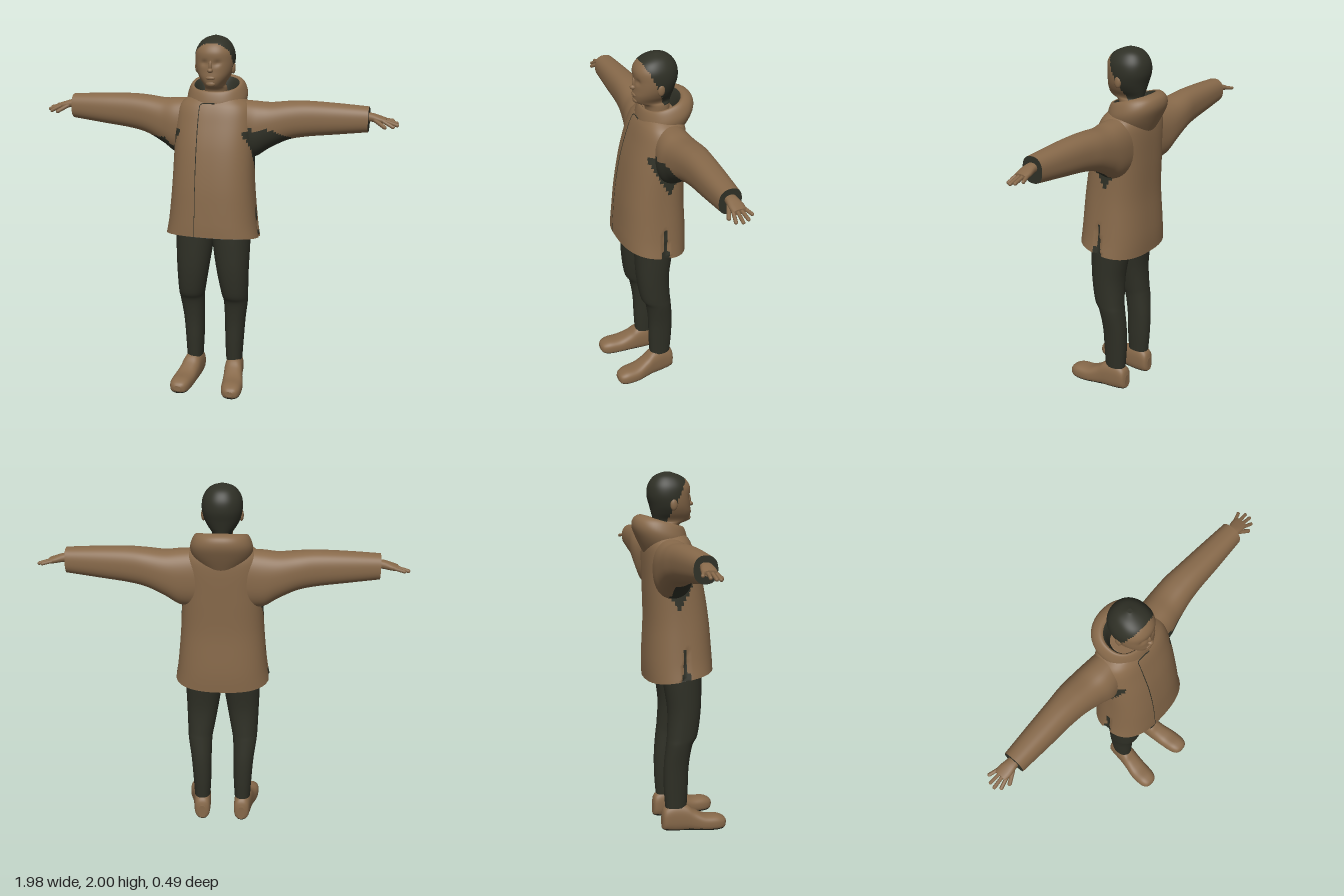
import * as THREE from 'three';

const tan = new THREE.MeshStandardMaterial({ color: 0x87694a });
tan.name = 'tan';
const dark = new THREE.MeshStandardMaterial({ color: 0x2f3026 });
dark.name = 'dark olive';

// Smooth interpolation through the rows of a cross-section list
function sample(rows, f) {
  const i = Math.min(Math.floor(f), rows.length - 2), u = f - i;
  const at = (k) => rows[Math.max(0, Math.min(rows.length - 1, k))];
  return rows[i].map((b, k) => {
    const a = at(i - 1)[k], c = at(i + 1)[k], d = at(i + 2)[k];
    const m0 = (c - a) / 2, m1 = (d - b) / 2;
    return b + u * (m0 + u * (3 * (c - b) - 2 * m0 - m1 + u * (2 * (b - c) + m0 + m1)));
  });
}

// Closed skin over rows [height, xMin, xMax, zMin, zMax]; shape() bends points,
// isDark(point, v) picks the second colour face by face
function loft(name, rows, o = {}) {
  const { seg = 40, sub = 5, pow = 0.85, turn, shape, isDark, mat = tan, caps = true } = o;
  const n = (rows.length - 1) * sub, pts = [], tris = [[], []];
  const rings = [];
  for (let i = 0; i <= n; i++) rings.push([...sample(rows, i / sub), 1]);
  if (caps) {
    const first = rings[0], last = rings[n];
    rings.unshift([...first.slice(0, 5), 0], first);
    rings.push(last, [...last.slice(0, 5), 0]);
  }
  const curve = (v) => Math.sign(v) * Math.abs(v) ** pow;
  for (const [y, x0, x1, z0, z1, k] of rings) {
    for (let j = 0; j < seg; j++) {
      const a = (j / seg) * Math.PI * 2;
      const p = new THREE.Vector3((x0 + x1) / 2 + k * curve(Math.cos(a)) * (x1 - x0) / 2, y,
        (z0 + z1) / 2 + k * curve(Math.sin(a)) * (z1 - z0) / 2);
      if (turn) p.applyEuler(turn);
      if (shape) shape(p);
      pts.push(p);
    }
  }
  for (let i = 0; i < rings.length - 1; i++) {
    for (let j = 0; j < seg; j++) {
      const a = i * seg + j, b = i * seg + (j + 1) % seg, c = a + seg, d = b + seg;
      const mid = pts[a].clone().add(pts[b]).add(pts[c]).add(pts[d]).multiplyScalar(0.25);
      tris[isDark && isDark(mid, i / rings.length) ? 1 : 0].push(a, c, b, b, c, d);
    }
  }
  const g = new THREE.BufferGeometry().setFromPoints(pts);
  g.setIndex([...tris[0], ...tris[1]]);
  g.addGroup(0, tris[0].length, 0);
  g.addGroup(tris[0].length, tris[1].length, 1);
  g.computeVertexNormals();
  const mesh = new THREE.Mesh(g, isDark ? [tan, dark] : mat);
  mesh.name = name;
  return mesh;
}

function blob(name, pos, scale) {
  const mesh = new THREE.Mesh(new THREE.SphereGeometry(1, 16, 12), tan);
  mesh.position.set(...pos);
  mesh.scale.set(...scale);
  mesh.name = name;
  return mesh;
}

function finger(name, from, to, r) {
  const a = new THREE.Vector3(...from), b = new THREE.Vector3(...to), d = b.clone().sub(a);
  const mesh = new THREE.Mesh(new THREE.CapsuleGeometry(r, d.length(), 4, 8), tan);
  mesh.position.copy(a).add(b).multiplyScalar(0.5);
  mesh.quaternion.setFromUnitVectors(new THREE.Vector3(0, 1, 0), d.normalize());
  mesh.name = name;
  return mesh;
}

// The hem hangs lower at the back, and each side has a slit
function hem(p) {
  const slit = Math.max(0, 1.1 - p.y) * 0.12;
  if (Math.abs(p.x) > 0.15 && Math.abs(p.z + 0.015) < slit) p.x *= 0.95;
  p.y += p.z * 0.17 * Math.max(0, 1 - (p.y - 0.9) / 0.2);
}

function head() {
  const g = new THREE.Group();
  g.name = 'head';
  g.add(loft('skullFaceAndHair', [
    [1.6, -0.06, 0.06, -0.13, 0], [1.71, -0.06, 0.06, -0.13, 0.005], [1.74, -0.055, 0.055, -0.135, 0.058],
    [1.78, -0.08, 0.08, -0.145, 0.07], [1.82, -0.098, 0.098, -0.155, 0.068], [1.87, -0.107, 0.107, -0.168, 0.066],
    [1.92, -0.103, 0.103, -0.165, 0.066], [1.96, -0.083, 0.083, -0.145, 0.042],
    [1.985, -0.055, 0.055, -0.115, 0], [2, -0.012, 0.012, -0.07, -0.045],
  ], {
    seg: 64, sub: 6, pow: 0.92,
    // eye sockets
    shape: (p) => {
      if (p.z > 0) p.z -= 0.01 * Math.exp(-(((Math.abs(p.x) - 0.035) / 0.018) ** 2) - ((p.y - 1.865) / 0.014) ** 2);
    },
    isDark: (p) => p.y > 1.72 && p.z < (p.y - 1.9) * (p.y > 1.9 ? 0.5 : 0.45),
  }));
  g.add(blob('noseBridge', [0, 1.85, 0.064], [0.01, 0.03, 0.012]));
  g.add(blob('noseTip', [0, 1.828, 0.07], [0.016, 0.013, 0.018]));
  g.add(blob('lips', [0, 1.787, 0.066], [0.026, 0.011, 0.01]));
  g.add(blob('chin', [0, 1.755, 0.058], [0.026, 0.016, 0.014]));
  for (const s of [-1, 1]) g.add(blob('ear', [s * 0.1, 1.83, -0.045], [0.012, 0.032, 0.02]));
  return g;
}

function jacket() {
  const g = new THREE.Group();
  g.name = 'jacket';
  g.add(loft('jacketBody', [
    [0.9, -0.262, 0.262, -0.192, 0.18], [1, -0.246, 0.246, -0.195, 0.176], [1.2, -0.228, 0.228, -0.186, 0.16],
    [1.4, -0.22, 0.22, -0.19, 0.127], [1.55, -0.215, 0.215, -0.192, 0.085], [1.62, -0.2, 0.2, -0.185, 0.06],
    [1.66, -0.16, 0.16, -0.165, 0.035], [1.69, -0.1, 0.1, -0.14, 0.01],
  ], {
    seg: 120, sub: 8, pow: 0.8, shape: hem,
    isDark: (p) => Math.abs(p.x) > 0.17 && (
      Math.abs(p.z + 0.015) < (1.1 - p.y) * 0.1 ||
      (p.y > 1.27 && p.y < 1.5 && Math.abs(p.z + 0.045) < (p.y - 1.26) * 0.5)),
  }));
  g.add(loft('jacketLining', [[0.898, -0.255, 0.255, -0.187, 0.175], [0.91, -0.25, 0.25, -0.185, 0.17]],
    { mat: dark, sub: 1, pow: 0.8, shape: hem }));
  // Collar and hood rolled over into a dark inside
  g.add(loft('hood', [
    [1.53, -0.09, 0.09, -0.185, 0.02], [1.6, -0.145, 0.145, -0.225, 0.035], [1.66, -0.165, 0.165, -0.25, 0.048],
    [1.71, -0.155, 0.155, -0.24, 0.04], [1.74, -0.135, 0.135, -0.2, 0.025],
    [1.725, -0.115, 0.115, -0.17, 0.01], [1.65, -0.09, 0.09, -0.14, 0],
  ], {
    seg: 56, caps: false, pow: 0.9, shape: (p) => { p.y -= (p.z + 0.09) * 0.3; },
    isDark: (p, v) => v > 0.74,
  }));
  // Front closing seam
  const path = new THREE.CatmullRomCurve3([
    [-0.065, 0.93, 0.177], [-0.065, 1, 0.172], [-0.065, 1.2, 0.155], [-0.065, 1.4, 0.123], [-0.065, 1.55, 0.081],
    [-0.063, 1.62, 0.056], [-0.06, 1.64, 0.046], [0.02, 1.648, 0.05],
  ].map((p) => new THREE.Vector3(...p)));
  const seam = new THREE.Mesh(new THREE.TubeGeometry(path, 60, 0.0028, 6), dark);
  seam.name = 'frontSeam';
  g.add(seam);
  return g;
}

function arm(s) {
  const g = new THREE.Group();
  g.name = s > 0 ? 'leftArm' : 'rightArm';
  const turn = new THREE.Euler(0, 0, -s * Math.PI / 2);
  // Rows along the arm: [distance, yMin, yMax, zMin, zMax]
  const along = (rows) => rows.map(([t, y0, y1, z0, z1]) => (s > 0 ? [t, -y1, -y0, z0, z1] : [t, y0, y1, z0, z1]));
  g.add(loft('sleeve', along([
    [0.12, 1.34, 1.655, -0.17, 0.02], [0.22, 1.345, 1.65, -0.18, 0.03], [0.3, 1.395, 1.645, -0.182, 0.015],
    [0.4, 1.445, 1.655, -0.178, 0], [0.5, 1.468, 1.66, -0.167, -0.008], [0.65, 1.487, 1.656, -0.155, -0.012],
    [0.832, 1.51, 1.646, -0.14, -0.02],
  ]), {
    seg: 56, sub: 8, turn,
    isDark: (p) => {
      const x = Math.abs(p.x);
      if (x > 0.831) return true;
      return s > 0 ? x < 0.42 && p.y < 1.51 - Math.max(0, x - 0.32) * 0.4 && p.z > -0.1
        : x < 0.36 && p.y < 1.44 && p.z > -0.1 && p.z < 0.01;
    },
  }));
  g.add(loft('palm', along([
    [0.81, 1.57, 1.615, -0.108, -0.052], [0.85, 1.567, 1.612, -0.113, -0.048],
    [0.89, 1.562, 1.6, -0.122, -0.045], [0.925, 1.56, 1.588, -0.12, -0.05],
  ]), { seg: 20, turn }));
  // Four fingers from front to back: tip x, y, z
  [[0.962, 1.548, -0.045], [0.982, 1.553, -0.072], [0.978, 1.56, -0.1], [0.955, 1.568, -0.13]].forEach(([x, y, z], i) =>
    g.add(finger('finger', [s * 0.905, 1.577, -0.056 - i * 0.019], [s * x, y, z], 0.0095)));
  g.add(finger('thumb', [s * 0.865, 1.58, -0.055], [s * 0.92, 1.548, -0.03], 0.011));
  return g;
}

function leg(s) {
  const g = new THREE.Group();
  g.name = s > 0 ? 'leftLeg' : 'rightLeg';
  const side = (rows) => rows.map(([t, a, b, c, d]) => (s > 0 ? [t, a, b, c, d] : [t, -b, -a, c, d]));
  g.add(loft('trouserLeg', side([
    [0.135, 0.072, 0.163, -0.1, 0.022], [0.25, 0.066, 0.17, -0.108, 0.028], [0.38, 0.064, 0.18, -0.108, 0.032],
    [0.5, 0.06, 0.196, -0.096, 0.05], [0.56, 0.05, 0.2, -0.09, 0.08], [0.7, 0.025, 0.205, -0.085, 0.1],
    [0.85, 0.002, 0.21, -0.105, 0.105], [0.98, -0.01, 0.212, -0.12, 0.105],
  ]), { mat: dark, pow: 0.9 }));
  // Shoe runs from heel to toe; its rows hold [z, xMin, xMax, -yMax, -yMin]
  g.add(loft('shoe', side([
    [-0.12, 0.095, 0.135, -0.09, -0.01], [-0.105, 0.073, 0.158, -0.13, 0], [-0.05, 0.07, 0.168, -0.155, 0.01],
    [0.015, 0.072, 0.178, -0.148, 0.01], [0.06, 0.077, 0.188, -0.115, 0.01], [0.12, 0.083, 0.203, -0.086, 0.01],
    [0.19, 0.092, 0.206, -0.08, 0.01], [0.228, 0.108, 0.194, -0.066, 0], [0.242, 0.13, 0.172, -0.05, -0.02],
  ]), {
    pow: 0.78, turn: new THREE.Euler(Math.PI / 2, 0, 0),
    shape: (p) => { p.y = Math.max(p.y, 0); },
    isDark: (p) => p.y < 0.012,
  }));
  return g;
}

export function createModel() {
  const model = new THREE.Group();
  model.name = 'standingFigure';
  model.add(head(), jacket());
  for (const s of [-1, 1]) model.add(arm(s), leg(s));
  return model;
}
